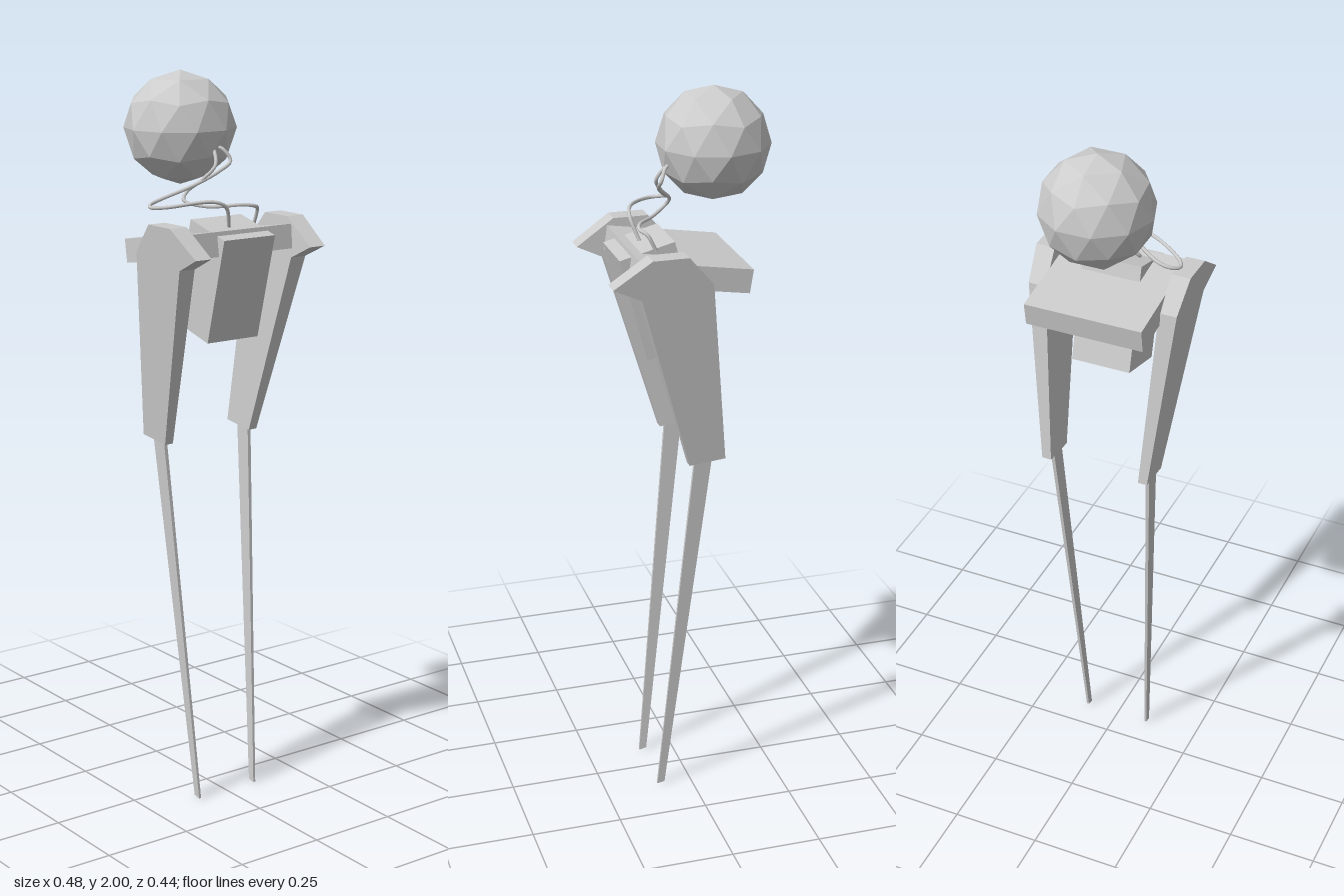
import * as THREE from 'three';

const material = new THREE.MeshStandardMaterial({ color: 0xcccccc, flatShading: true });
const smooth = new THREE.MeshStandardMaterial({ color: 0xcccccc });

function add(group, name, geometry, mat = material) {
  const mesh = new THREE.Mesh(geometry, mat);
  mesh.name = name;
  group.add(mesh);
  return mesh;
}

// Plate with a side profile in x/y whose inner and outer faces follow z(y)
function slab(profile, side, inner, outer) {
  const shape = new THREE.Shape(profile.map(([x, y]) => new THREE.Vector2(x, y)));
  const geometry = new THREE.ExtrudeGeometry(shape, { depth: 1, bevelEnabled: false });
  const p = geometry.attributes.position;
  for (let i = 0; i < p.count; i++) {
    const far = p.getZ(i) > 0.5;
    const y = p.getY(i);
    p.setZ(i, side * (far === side > 0 ? outer(y) : inner(y)) - 0.002);
  }
  geometry.computeVertexNormals();
  return geometry;
}

const thigh = [[0.04, 1.62], [0.137, 1.62], [0.24, 1.55], [0.163, 1.513],
  [0.02, 1.015], [-0.08, 1.025], [-0.028, 1.54]];
const shin = [[-0.045, 1.03], [0.003, 1.03], [0.098, 0], [0.077, 0.004]];

// Cables from the ball down to the body
const cables = [
  [[0.02, 1.81, 0], [0.045, 1.8, -0.02], [0.06, 1.77, -0.035], [0.058, 1.745, 0],
    [0.03, 1.71, 0.06], [-0.005, 1.675, 0.145], [0.0, 1.665, 0.18], [0.02, 1.66, 0.195],
    [0.055, 1.662, 0.175], [0.12, 1.675, 0.065], [0.127, 1.66, 0.03], [0.108, 1.6, 0.005]],
  [[0.02, 1.81, 0], [0.045, 1.79, 0.005], [0.06, 1.76, 0.015], [0.04, 1.725, 0.04],
    [0.008, 1.69, 0.07], [0.015, 1.67, 0.085], [0.06, 1.655, 0.045], [0.12, 1.66, -0.035],
    [0.127, 1.655, -0.065], [0.112, 1.645, -0.085], [0.09, 1.6, -0.09]],
];

export function createModel() {
  const model = new THREE.Group();
  model.name = 'walker';

  // Faceted ball head, turned so a corner points straight up
  const ball = add(model, 'ballHead', new THREE.IcosahedronGeometry(0.152, 1)
    .rotateZ(Math.atan(2 / (1 + Math.sqrt(5)))));
  ball.position.set(-0.096, 1.848, 0.017);

  // Tilted deck and the leaning box set through it
  const deck = add(model, 'deck', new THREE.BoxGeometry(0.309, 0.065, 0.328));
  deck.position.set(0.0075, 1.546, -0.002);
  deck.rotation.z = THREE.MathUtils.degToRad(9);

  const box = add(model, 'bodyBox', new THREE.BoxGeometry(0.154, 0.292, 0.166));
  box.position.set(0.077, 1.461, -0.003);
  box.rotation.z = THREE.MathUtils.degToRad(-14.5);

  // Pair of legs, leaning toward each other at the feet
  for (const side of [1, -1]) {
    const leg = new THREE.Group();
    leg.name = side > 0 ? 'frontLeg' : 'backLeg';
    add(leg, 'thigh', slab(thigh, side,
      (y) => 0.165 - 0.06 * (1.62 - y), (y) => 0.218 - 0.105 * (1.62 - y)));
    add(leg, 'shin', slab(shin, side,
      (y) => 0.092 + 0.044 * y, (y) => 0.099 + 0.047 * y));
    model.add(leg);
  }

  for (const points of cables) {
    const curve = new THREE.CatmullRomCurve3(points.map((p) => new THREE.Vector3(...p)));
    add(model, 'cable', new THREE.TubeGeometry(curve, 80, 0.005, 8), smooth);
  }
  return model;
}
